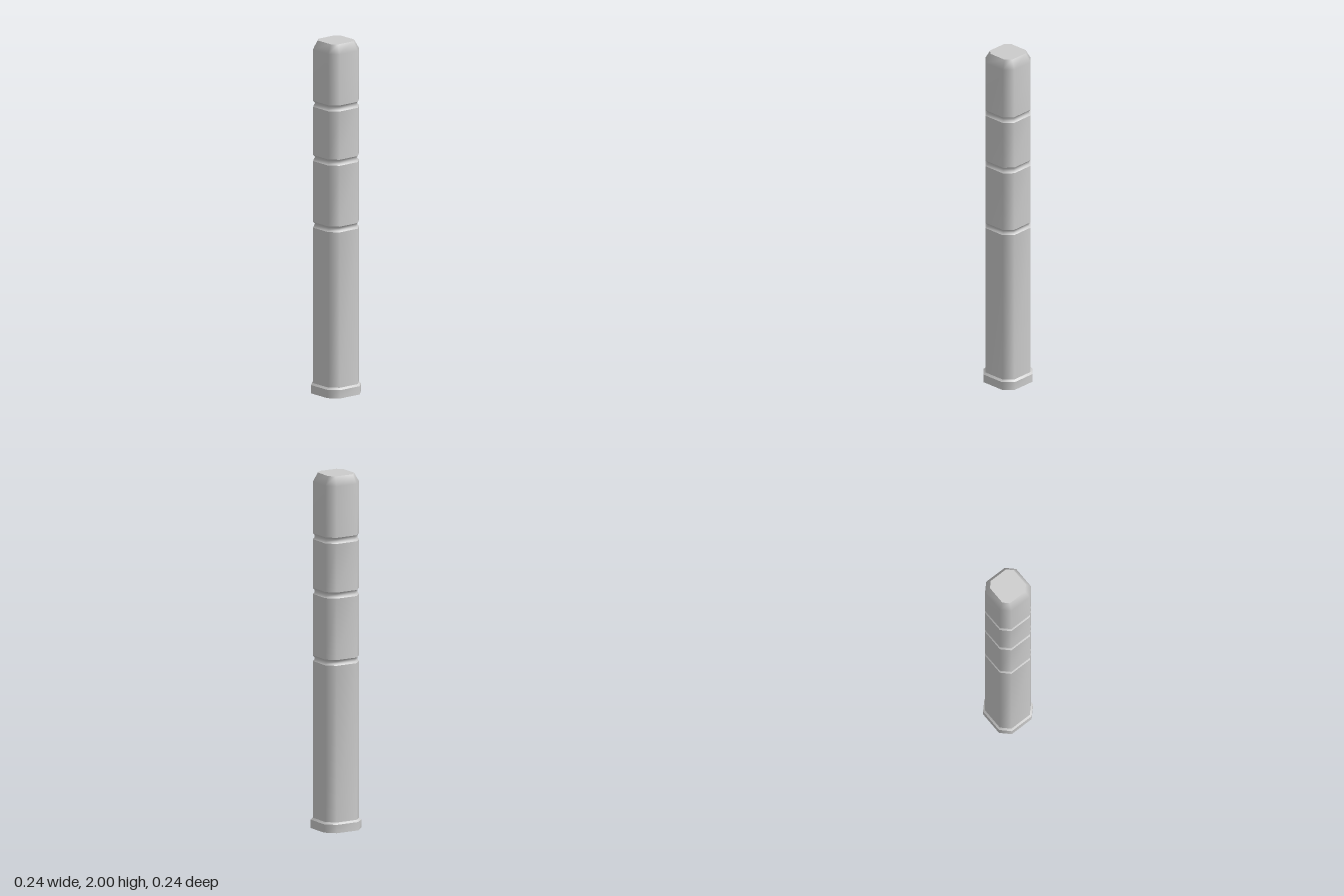
import * as THREE from 'three';

const material = new THREE.MeshStandardMaterial({ color: 0xcccccc, side: THREE.DoubleSide });

// Corners of a chamfered square: h = half width, c = half length of a flat side
function octagon(h, c) {
  return [[-c, h], [c, h], [h, c], [h, -c], [c, -h], [-c, -h], [-h, -c], [-h, c]];
}

// Smooth octagonal sleeve through rings of [y, half width, half flat side]
function sleeve(name, rings) {
  const positions = [], index = [];
  rings.forEach(([y, h, c], r) => {
    octagon(h, c).forEach(([x, z], i) => {
      positions.push(x, y, z);
      if (r === rings.length - 1) return;
      const a = r * 8 + i, b = r * 8 + (i + 1) % 8;
      index.push(a, b, b + 8, a, b + 8, a + 8);
    });
  });
  const geometry = new THREE.BufferGeometry();
  geometry.setAttribute('position', new THREE.Float32BufferAttribute(positions, 3));
  geometry.setIndex(index);
  geometry.computeVertexNormals();
  const mesh = new THREE.Mesh(geometry, material);
  mesh.name = name;
  return mesh;
}

export function createModel() {
  const group = new THREE.Group();
  group.name = 'bollard';
  const H = 0.11, C = 0.065;

  // Foot collar with bevelled upper edge, open underneath
  group.add(sleeve('footCollar', [[0, 0.12, 0.07], [0.047, 0.12, 0.07]]));
  group.add(sleeve('collarBevel', [[0.047, 0.12, 0.07], [0.058, H, C]]));

  // Shaft sections, each closed by a narrow recessed groove
  let bottom = 0.058;
  for (const [low, high] of [[0.94, 0.972], [1.318, 1.352], [1.626, 1.66]]) {
    group.add(sleeve('shaftSection', [[bottom, H, C], [low, H, C]]));
    group.add(sleeve('groove', [
      [low, H, C], [low + 0.01, 0.102, 0.06], [high - 0.01, 0.102, 0.06], [high, H, C],
    ]));
    bottom = high;
  }

  // Tapered head and its flat top
  group.add(sleeve('head', [[bottom, H, C], [1.95, H, C], [2, 0.084, 0.054]]));
  const outline = new THREE.Shape(octagon(0.084, 0.054).map(([x, z]) => new THREE.Vector2(x, -z)));
  const cap = new THREE.Mesh(new THREE.ShapeGeometry(outline), material);
  cap.name = 'topCap';
  cap.rotation.x = -Math.PI / 2;
  cap.position.y = 2;
  group.add(cap);

  return group;
}
